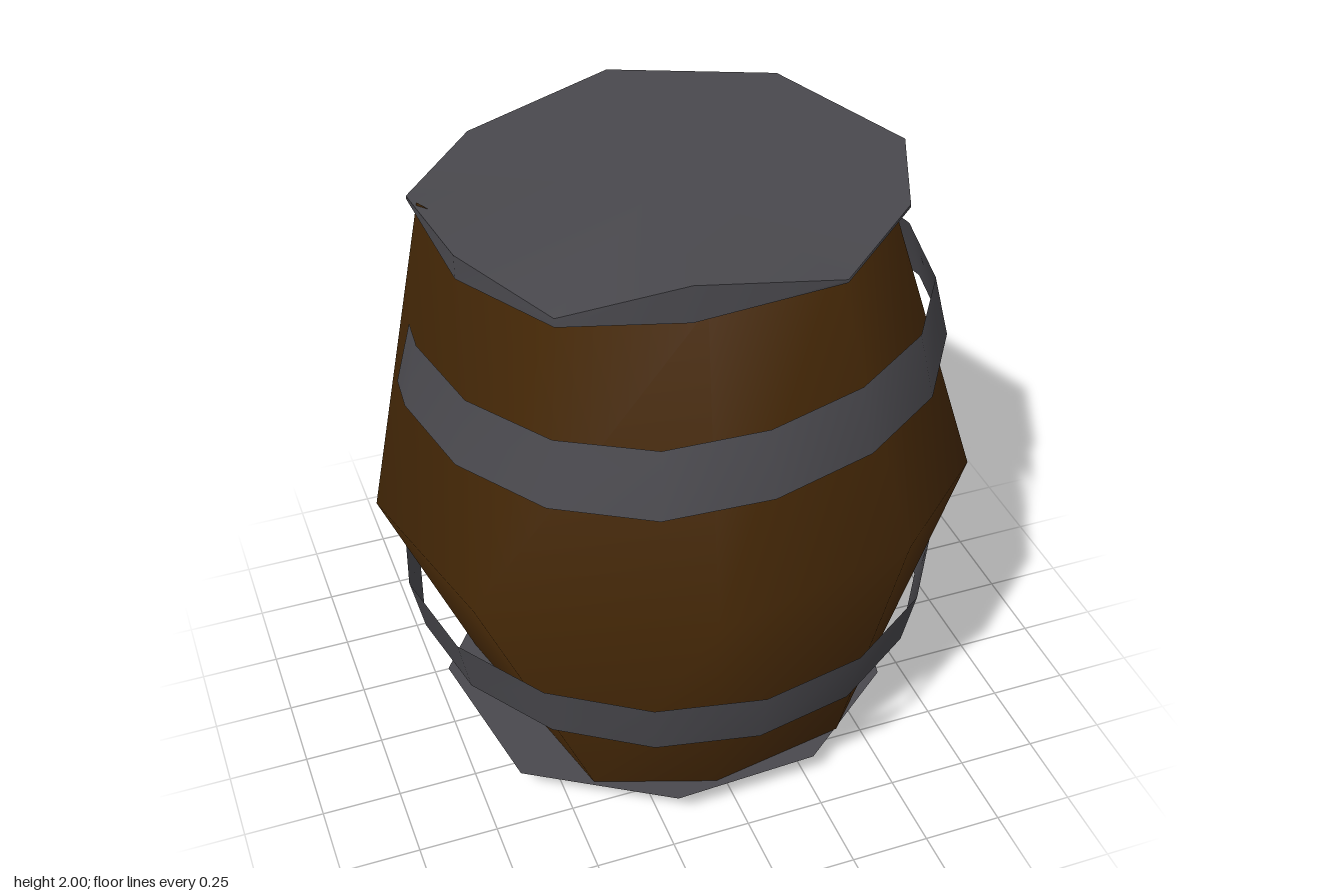
import * as THREE from 'three';
import { mergeVertices } from 'three/addons/utils/BufferGeometryUtils.js';

const wood = new THREE.MeshStandardMaterial({ color: 0x472907 });
wood.name = 'dark wood';
const iron = new THREE.MeshStandardMaterial({ color: 0x4a494e, side: THREE.DoubleSide });
iron.name = 'dull iron';

const polar = (deg, r, y) => {
  const a = THREE.MathUtils.degToRad(deg);
  return [r * Math.cos(a), y, r * Math.sin(a)];
};
const repeat = (p, n) => Array.from({ length: n }, () => p);

// Smooth skin between successive rings of points, from bottom to top
function loft(rings, closed = true) {
  const n = rings[0].length, index = [];
  for (let j = 0; j < rings.length - 1; j++) {
    for (let i = 0; i < (closed ? n : n - 1); i++) {
      const k = (i + 1) % n;
      const a = j * n + i, b = j * n + k, c = a + n, d = b + n;
      index.push(a, c, b, b, c, d);
    }
  }
  const g = new THREE.BufferGeometry();
  g.setAttribute('position', new THREE.Float32BufferAttribute(rings.flat(2), 3));
  g.setIndex(index);
  const merged = mergeVertices(g);
  merged.computeVertexNormals();
  return merged;
}

function part(name, geometry, material) {
  const m = new THREE.Mesh(geometry, material);
  m.name = name;
  return m;
}

// Uneven nine-sided barrel, open at the ends, widest along a slanted belly line
function makeBody() {
  const belly = [[0.17, 0.91, -0.92], [0.72, 1.04, -0.58], [0.89, 1.24, -0.14], [0.79, 1.05, 0.5], [0.46, 1.04, 0.79],
    [-0.18, 1.02, 0.91], [-0.77, 0.92, 0.49], [-0.9, 0.85, -0.17], [-0.51, 0.88, -0.76]];
  const base = [[-94, 0.66], [-45, 0.67], [-4, 0.69], [28, 0.66], [56, 0.68], [96, 0.645], [130, 0.67], [200, 0.65], [236, 0.63]]
    .map(([a, r]) => polar(a, r, 0.11));
  const top = [[-108, 0.664], [-58, 0.67], [-10, 0.65], [28, 0.65], [60, 0.6], [100, 0.62], [140, 0.58], [194.6, 0.713], [222, 0.606]]
    .map(([a, r]) => polar(a, r, 1.885));
  return part('staves', loft([base, belly, top]), wood);
}

// Thin flared hoop, drawn as a strip through the given angles; a sagging side also draws inward
function makeBand(name, angles, closed, yLow, yHigh, rLow, rHigh, sag) {
  const ring = (r, y) => angles.map((a) => {
    const [x, py, z] = polar(a, r, y);
    const drop = sag * (1 - THREE.MathUtils.smoothstep(x, -0.6, 0.35));
    return [x + 0.3 * drop, py - drop, z];
  });
  return part(name, loft([ring(rLow, yLow), ring(rHigh, yHigh)], closed), iron);
}

// Buckled lid: bent down at the left edge so the stave rim cuts through, raised at one front corner
function makeLid() {
  const g = new THREE.Group();
  g.name = 'lid';
  const upper = [[0.07, 1.9, -0.74], [0.54, 1.93, -0.48], [0.72, 1.945, 0.06], [0.57, 1.95, 0.41], [0.26, 1.935, 0.68],
    [-0.17, 2, 0.66], [-0.5, 1.88, 0.51], [-0.69, 1.95, 0.23], [-0.7, 1.858, -0.27], [-0.43, 1.858, -0.58]];
  const thickness = [0.01, 0.01, 0.01, 0.01, 0.01, 0.115, 0.028, 0.075, 0.01, 0.01];
  const lower = upper.map(([x, y, z], i) => [x, y - thickness[i], z]);
  g.add(part('lidTop', loft([upper, repeat([0, 1.945, 0], 10)]), iron));
  g.add(part('lidEdge', loft([lower, upper]), iron));
  g.add(part('lidUnderside', loft([repeat([0, 1.93, 0], 10), lower]), iron));
  return g;
}

// Bottom plate, flat on top with one corner bent down
function makeBottom() {
  const g = new THREE.Group();
  g.name = 'bottomPlate';
  const rim = [[-121, 0.73], [-79, 0.745], [-39, 0.745], [-4, 0.715], [31, 0.72], [68, 0.7], [107, 0.7], [148, 0.75], [191, 0.74]]
    .map(([a, r]) => polar(a, r, 0.108));
  const corner = [-0.38, 0, -0.63];
  g.add(part('plateTop', loft([rim, repeat([0, 0.108, 0], 9)]), iron));
  g.add(part('plateUnderside', loft([repeat(corner, 9), rim]), iron));
  return g;
}

export function createModel() {
  const model = new THREE.Group();
  model.name = 'barrel';
  model.add(makeBody(), makeLid(), makeBottom());

  const full = Array.from({ length: 16 }, (_, i) => i * 22.5);
  model.add(makeBand('lowerBand', full, true, 0.455, 0.645, 0.815, 0.855, 0));

  // The upper hoop has snapped and sags at the break
  const broken = [-164.5, ...Array.from({ length: 16 }, (_, i) => -157.5 + i * 22.5), 188.7];
  model.add(makeBand('upperBand', broken, false, 1.41, 1.61, 0.84, 0.79, 0.085));
  return model;
}
